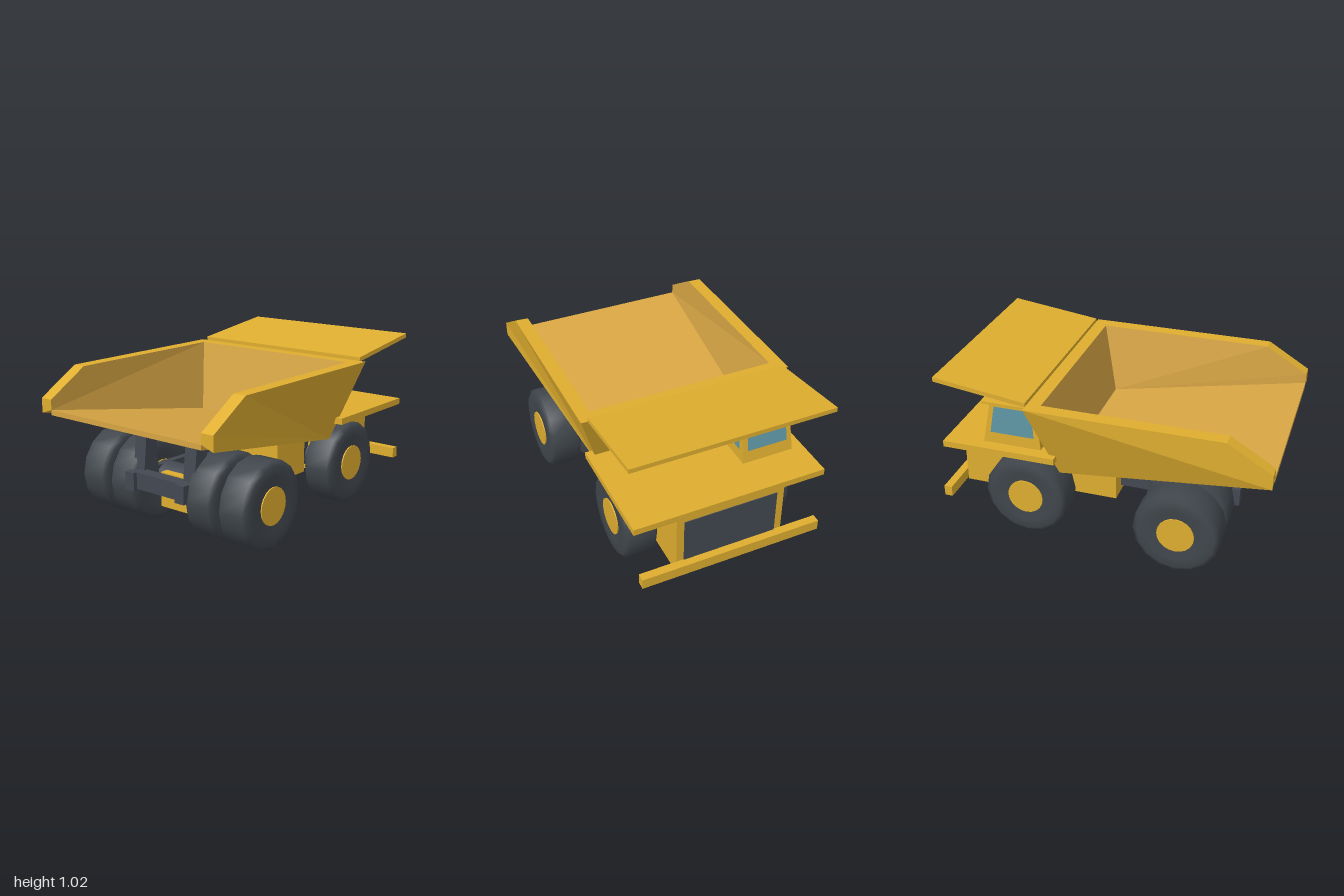
import * as THREE from 'three';

const mat = (name, color) => {
  const m = new THREE.MeshStandardMaterial({ color });
  m.name = name;
  return m;
};

const V = (x, y, z) => new THREE.Vector3(x, y, z);
const mir = (p) => V(-p.x, p.y, p.z);

// Flat-faced geometry from convex polygons listed counter-clockwise
function facets(polys) {
  const pos = [];
  for (const p of polys)
    for (let i = 1; i < p.length - 1; i++)
      for (const v of [p[0], p[i], p[i + 1]]) pos.push(v.x, v.y, v.z);
  const g = new THREE.BufferGeometry();
  g.setAttribute('position', new THREE.Float32BufferAttribute(pos, 3));
  g.computeVertexNormals();
  return g;
}

export function createModel() {
  const yellow = mat('yellow paint', 0xdfae2f);
  const liner = mat('bed liner', 0xd8a644);
  const rubber = mat('rubber', 0x40464c);
  const steel = mat('dark steel', 0x434852);
  const glass = mat('glass', 0x5f97a6);

  const truck = new THREE.Group();
  truck.name = 'dumpTruck';
  const add = (name, geo, material, parent = truck) => {
    const m = new THREE.Mesh(geo, material);
    m.name = name;
    parent.add(m);
    return m;
  };
  // Box given by its limits on each axis
  const box = (name, [x0, x1], [y0, y1], [z0, z1], material) => {
    const m = add(name, new THREE.BoxGeometry(x1 - x0, y1 - y0, z1 - z0), material);
    m.position.set((x0 + x1) / 2, (y0 + y1) / 2, (z0 + z1) / 2);
    return m;
  };

  // Dump bed: outer (o) and inner (i) corners of the +x half
  const o1 = V(0.645, 0.93, -0.405), o2 = V(0.495, 0.455, -0.26), o3 = V(0.645, 0.687, 1);
  const o4 = V(0.645, 0.775, 1), o5 = V(0.645, 0.93, 0.745);
  const i1 = V(0.565, 0.93, -0.325), i2 = V(0.505, 0.5, -0.24), i3 = V(0.565, 0.715, 1);
  const i4 = V(0.565, 0.775, 1), i5 = V(0.565, 0.93, 0.745);
  const b3 = V(0.565, 0.685, 1);
  const both = (polys) => polys.flatMap((p) => [p, p.map(mir).reverse()]);
  const span = (a, b) => [a, mir(a), mir(b), b];
  const bed = new THREE.Group();
  bed.name = 'dumpBed';
  truck.add(bed);
  add('bedShell', facets([
    ...both([[o2, o1, o5, o4, o3], [o1, i1, i5, o5], [o5, i5, i4, o4], [o4, i4, i3, o3], [o3, i3, o2]]),
    span(o1, i1), span(o2, o1),
  ]), yellow, bed);
  add('bedLining', facets([
    ...both([[i2, i3, i4, i5, i1], [i3, b3, o2]]),
    span(i1, i2), span(i2, i3), span(i3, b3), span(b3, o2),
  ]), liner, bed);

  // Canopy over the cab, rising toward the nose
  const canopy = new THREE.Shape([
    new THREE.Vector2(-0.405, 0.925), new THREE.Vector2(-0.405, 0.952),
    new THREE.Vector2(-0.965, 1.027), new THREE.Vector2(-0.965, 1.0),
  ]);
  const canopyGeo = new THREE.ExtrudeGeometry(canopy, { depth: 1.21, bevelEnabled: false });
  canopyGeo.rotateY(-Math.PI / 2).translate(0.605, 0, 0);
  add('canopy', canopyGeo, yellow);

  // Front body
  box('deck', [-0.583, 0.583], [0.558, 0.597], [-0.956, -0.26], yellow);
  box('engineBody', [-0.33, 0.33], [0.17, 0.558], [-0.95, -0.43], yellow);
  box('grille', [-0.285, 0.285], [0.21, 0.53], [-0.955, -0.949], steel);
  box('bumper', [-0.555, 0.555], [0.185, 0.25], [-1, -0.95], yellow);

  // Cab: tapered block with window plates on its faces
  const y0 = 0.597, y1 = 0.865;
  const low = [V(-0.51, y0, -0.725), V(-0.51, y0, -0.366), V(-0.19, y0, -0.366), V(-0.19, y0, -0.725)];
  const high = [V(-0.5, y1, -0.67), V(-0.5, y1, -0.388), V(-0.2, y1, -0.388), V(-0.2, y1, -0.67)];
  const walls = low.map((p, i) => [p, low[(i + 1) % 4], high[(i + 1) % 4], high[i]]);
  add('cab', facets([...walls, [high[0], high[1], high[2], high[3]]]), yellow);
  const pane = ([a, b, c, d]) => {
    const n = b.clone().sub(a).cross(d.clone().sub(a)).normalize();
    const at = (u, v) => a.clone().lerp(b, u).lerp(d.clone().lerp(c, u), v).addScaledVector(n, 0.004);
    return [at(0.1, 0.265), at(0.9, 0.265), at(0.9, 0.9), at(0.1, 0.9)];
  };
  add('cabWindows', facets([walls[0], walls[2], walls[3]].map(pane)), glass);
  box('cabRoof', [-0.53, -0.165], [0.862, 0.876], [-0.71, -0.378], yellow);

  // Chassis
  box('centreTank', [-0.32, 0.32], [0.215, 0.45], [-0.25, 0.03], yellow);
  box('differential', [-0.1, 0.1], [0.13, 0.34], [0.38, 0.6], yellow);
  box('crossbar', [-0.16, 0.16], [0.26, 0.36], [0.66, 0.74], steel);
  const post = new THREE.Shape([
    new THREE.Vector2(0.56, 0.3), new THREE.Vector2(0.69, 0.3),
    new THREE.Vector2(0.655, 0.617), new THREE.Vector2(0.587, 0.617),
  ]);
  const postGeo = new THREE.ExtrudeGeometry(post, { depth: 0.085, bevelEnabled: false });
  postGeo.rotateY(-Math.PI / 2).translate(0.0425, 0, 0);
  for (const s of [1, -1]) {
    const a = 0.158 * s, b = 0.226 * s;
    box('frameRail', [Math.min(a, b), Math.max(a, b)], [0.253, 0.36], [-0.5, 0.765], steel);
    add('bedHinge', postGeo, steel).position.x = 0.193 * s;
  }
  const axle = (name, r, half, z) => {
    const g = new THREE.CylinderGeometry(r, r, half * 2, 16).rotateZ(Math.PI / 2);
    add(name, g, steel).position.set(0, 0.262, z);
  };
  axle('rearAxle', 0.105, 0.5, 0.48);
  axle('frontAxle', 0.08, 0.4, -0.475);

  // Wheels: rounded tyre with a plain hub disc on both faces
  const profile = [[0.1, -0.09], [0.17, -0.098], [0.228, -0.098], [0.257, -0.078],
    [0.257, 0.078], [0.228, 0.098], [0.17, 0.098], [0.1, 0.09]];
  const tyreGeo = new THREE.LatheGeometry(profile.map(([r, h]) => new THREE.Vector2(r, h)), 16);
  tyreGeo.rotateZ(-Math.PI / 2);
  const hubGeo = new THREE.CylinderGeometry(0.11, 0.11, 0.197, 20).rotateZ(Math.PI / 2);
  const wheel = (name, x, z) => {
    const w = new THREE.Group();
    w.name = name;
    w.position.set(x, 0.26, z);
    add('tyre', tyreGeo, rubber, w);
    add('hub', hubGeo, yellow, w);
    truck.add(w);
  };
  for (const s of [1, -1]) {
    wheel('frontWheel', 0.43 * s, -0.475);
    wheel('rearInnerWheel', 0.294 * s, 0.48);
    wheel('rearOuterWheel', 0.533 * s, 0.48);
  }
  return truck;
}
